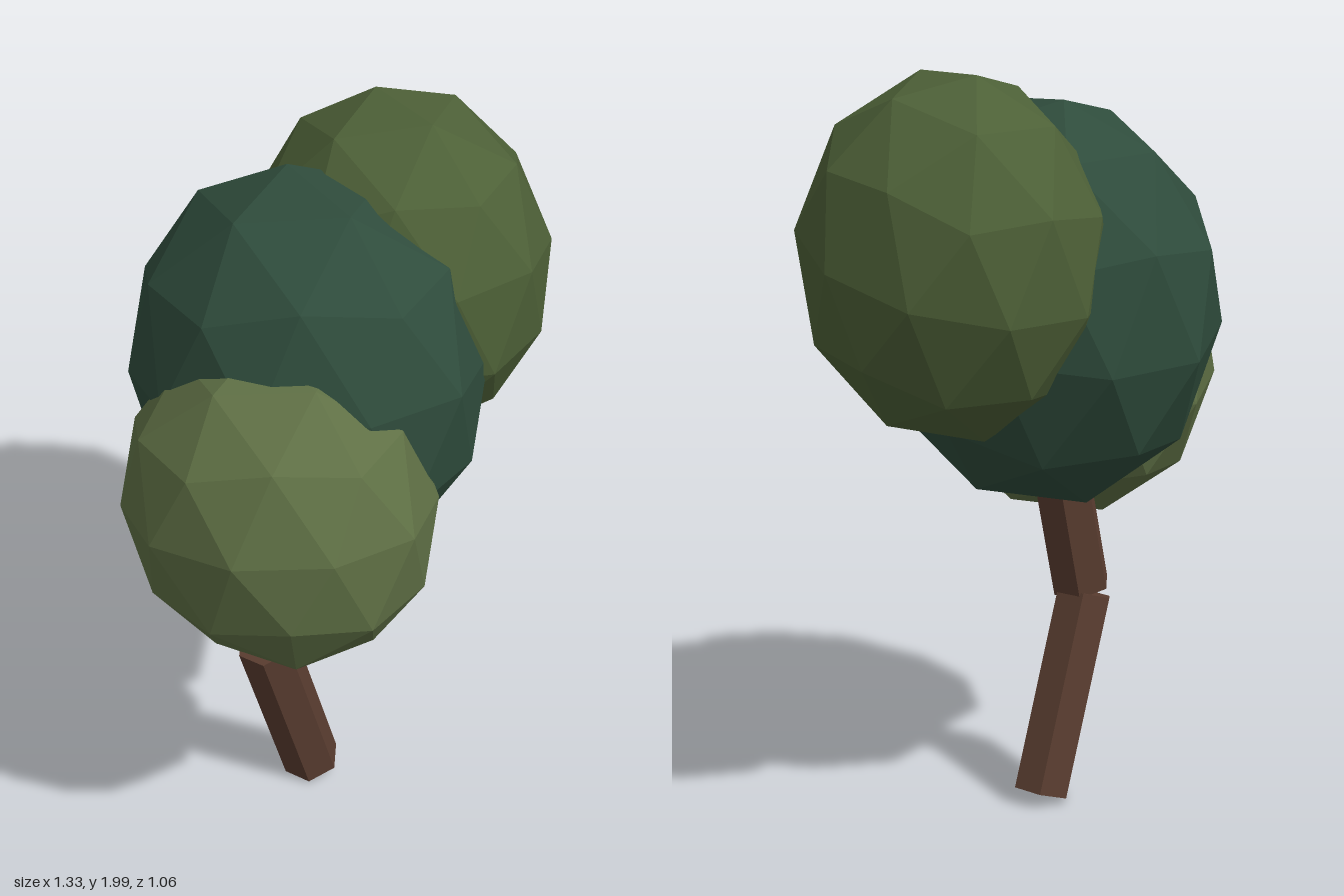
import * as THREE from 'three';

const V = (x, y, z) => new THREE.Vector3(x, y, z);
const material = (color) => new THREE.MeshStandardMaterial({ color, flatShading: true });

// Faceted ball turned so its own y and z follow the given directions, then stretched
function leafBall(name, color, center, radii, yDir, zDir) {
  const y = yDir.clone().normalize();
  const x = y.clone().cross(zDir).normalize();
  const z = x.clone().cross(y);
  const geometry = new THREE.IcosahedronGeometry(1, 1);
  geometry.applyMatrix4(new THREE.Matrix4().makeBasis(x, y, z));
  geometry.scale(radii.x, radii.y, radii.z);
  geometry.computeVertexNormals();
  const mesh = new THREE.Mesh(geometry, material(color));
  mesh.name = name;
  mesh.position.copy(center);
  return mesh;
}

// Six-sided log running from one point to another
function log(name, from, to, radius) {
  const axis = to.clone().sub(from);
  const geometry = new THREE.CylinderGeometry(radius, radius, axis.length(), 6);
  geometry.rotateY(0.17);
  const mesh = new THREE.Mesh(geometry, material(0x5a3d30));
  mesh.name = name;
  mesh.position.copy(from).lerp(to, 0.5);
  mesh.quaternion.setFromUnitVectors(V(0, 1, 0), axis.normalize());
  return mesh;
}

export function createModel() {
  const tree = new THREE.Group();
  tree.name = 'tree';

  // Bent trunk and a small side branch
  tree.add(
    log('lowerTrunk', V(-0.04, 0.03, -0.055), V(-0.207, 0.555, -0.055), 0.081),
    log('upperTrunk', V(-0.205, 0.572, -0.045), V(-0.08, 1.1, -0.045), 0.081),
    log('sideBranch', V(-0.205, 0.67, -0.04), V(-0.26, 0.98, 0.05), 0.045),
  );

  // Three overlapping masses of leaves
  const tiltY = V(-0.463, 0.882, -0.1);
  const tiltZ = V(-0.14, -0.18, -0.97);
  tree.add(
    leafBall('middleLeaves', 0x2f4c3c, V(-0.045, 1.38, -0.055), V(0.43, 0.54, 0.49), tiltY, tiltZ),
    leafBall('lowerLeaves', 0x5f7045, V(-0.31, 1.17, 0.11), V(0.37, 0.435, 0.43), tiltY, tiltZ),
    leafBall('upperLeaves', 0x4d6037, V(0.285, 1.54, -0.055), V(0.38, 0.473, 0.412),
      V(-0.04, 0.95, 0.3), V(0.985, 0, 0.14)),
  );
  return tree;
}
